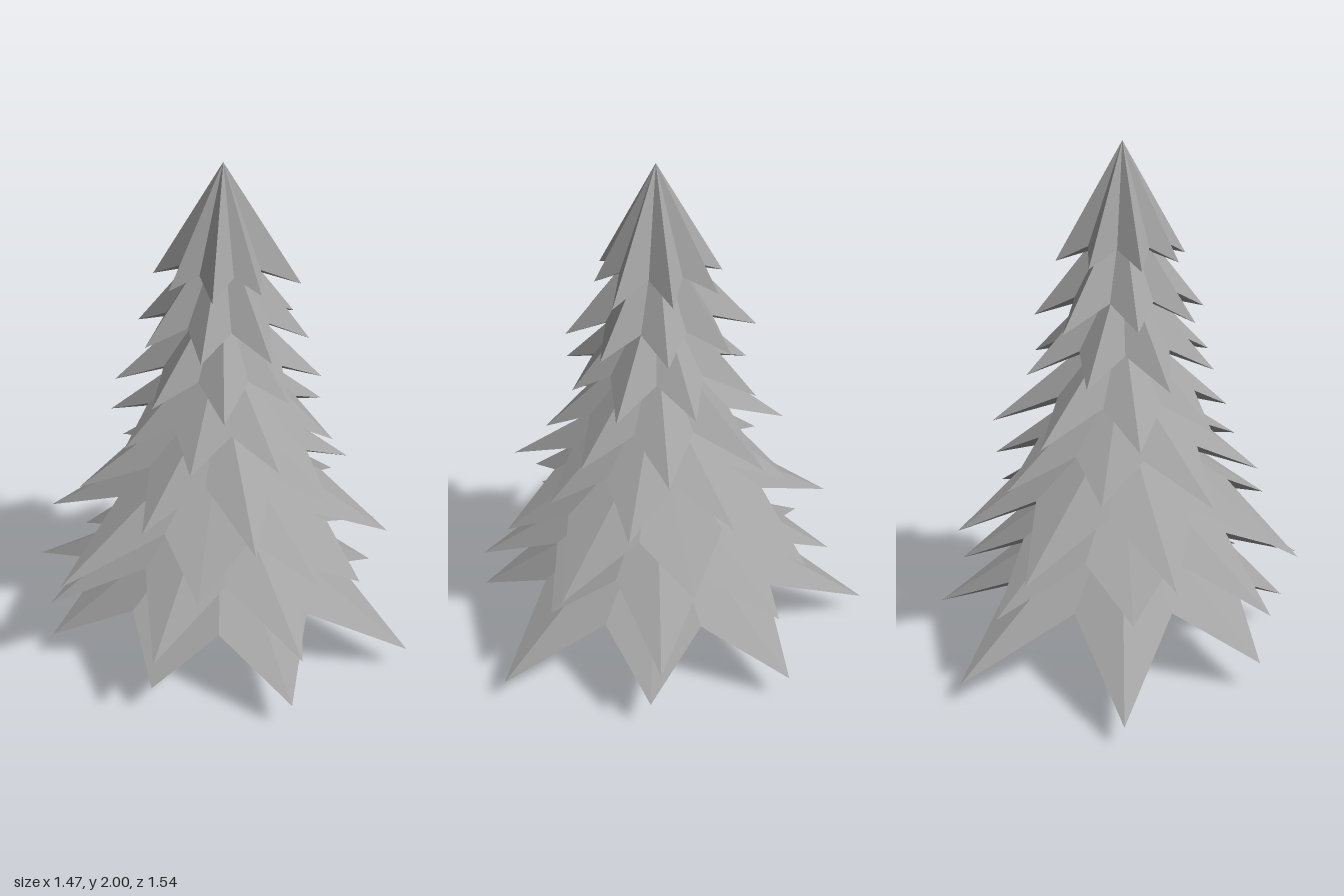
import * as THREE from 'three';

// Shared trunk axis
const AX = 0.022, AZ = 0.035;
const TIPS = 8;

// Tiers from the bottom up: turn in degrees and the reach of each branch tip
const TIERS = [
  { turn: 25.3, reach: [.75, .86, .88, .73, .66, .73, .81, .70] },
  { turn: 28.5, reach: [.65, .71, .62, .74, .72, .72, .59, .74] },
  { turn: -4.3, reach: [.59, .67, .72, .71, .76, .61, .61, .67] },
  { turn: 16, reach: [.52, .54, .49, .57, .54, .59, .49, .52] },
  { turn: -12, reach: [.46, .51, .50, .46, .42, .42, .43, .44] },
  { turn: 5, reach: [.37, .40, .38, .41, .37, .38, .34, .38] },
  { turn: -10, reach: [.32, .34, .38, .33, .33, .32, .34, .33] },
  { turn: -4.5, reach: [.26, .26, .25, .26, .24, .25, .23, .29] },
];

// Folded star cone: tips and valleys alternate around the rim, closed underneath
function starTier({ turn, reach }, i) {
  const rimY = 0.29 + 0.191 * i;
  const apexY = rimY + 0.28 + 0.0058 * (i - 3) ** 2;
  const valleyRadius = 0.63 * reach.reduce((sum, r) => sum + r, 0) / TIPS;
  const start = THREE.MathUtils.degToRad(turn);
  const point = (k) => {
    const angle = start + k * Math.PI / TIPS;
    const isTip = k % 2 === 0;
    const r = isTip ? reach[(k / 2) % TIPS] : valleyRadius;
    // Longer branches droop further
    const y = isTip ? rimY - 0.24 * r : rimY;
    return [r * Math.cos(angle), y, -r * Math.sin(angle)];
  };
  const top = [0, apexY, 0], base = [0, rimY, 0];
  const positions = [];
  for (let k = 0; k < 2 * TIPS; k++) {
    const p = point(k), q = point(k + 1);
    positions.push(...top, ...p, ...q, ...base, ...q, ...p);
  }
  const geometry = new THREE.BufferGeometry();
  geometry.setAttribute('position', new THREE.Float32BufferAttribute(positions, 3));
  geometry.computeVertexNormals();
  return geometry;
}

export function createModel() {
  const model = new THREE.Group();
  model.name = 'tree';
  const grey = new THREE.MeshStandardMaterial({ color: 0xa3a3a3, flatShading: true });
  grey.name = 'plain grey';

  // Three-sided trunk with one edge toward +x
  const trunk = new THREE.Mesh(new THREE.CylinderGeometry(0.0645, 0.0645, 0.32, 3), grey);
  trunk.name = 'trunk';
  trunk.rotation.y = Math.PI / 2;
  trunk.position.set(AX, 0.16, AZ);
  model.add(trunk);

  // Stacked branch tiers
  TIERS.forEach((tier, i) => {
    const mesh = new THREE.Mesh(starTier(tier, i), grey);
    mesh.name = `branchTier${i + 1}`;
    mesh.position.set(AX, 0, AZ);
    model.add(mesh);
  });
  return model;
}
